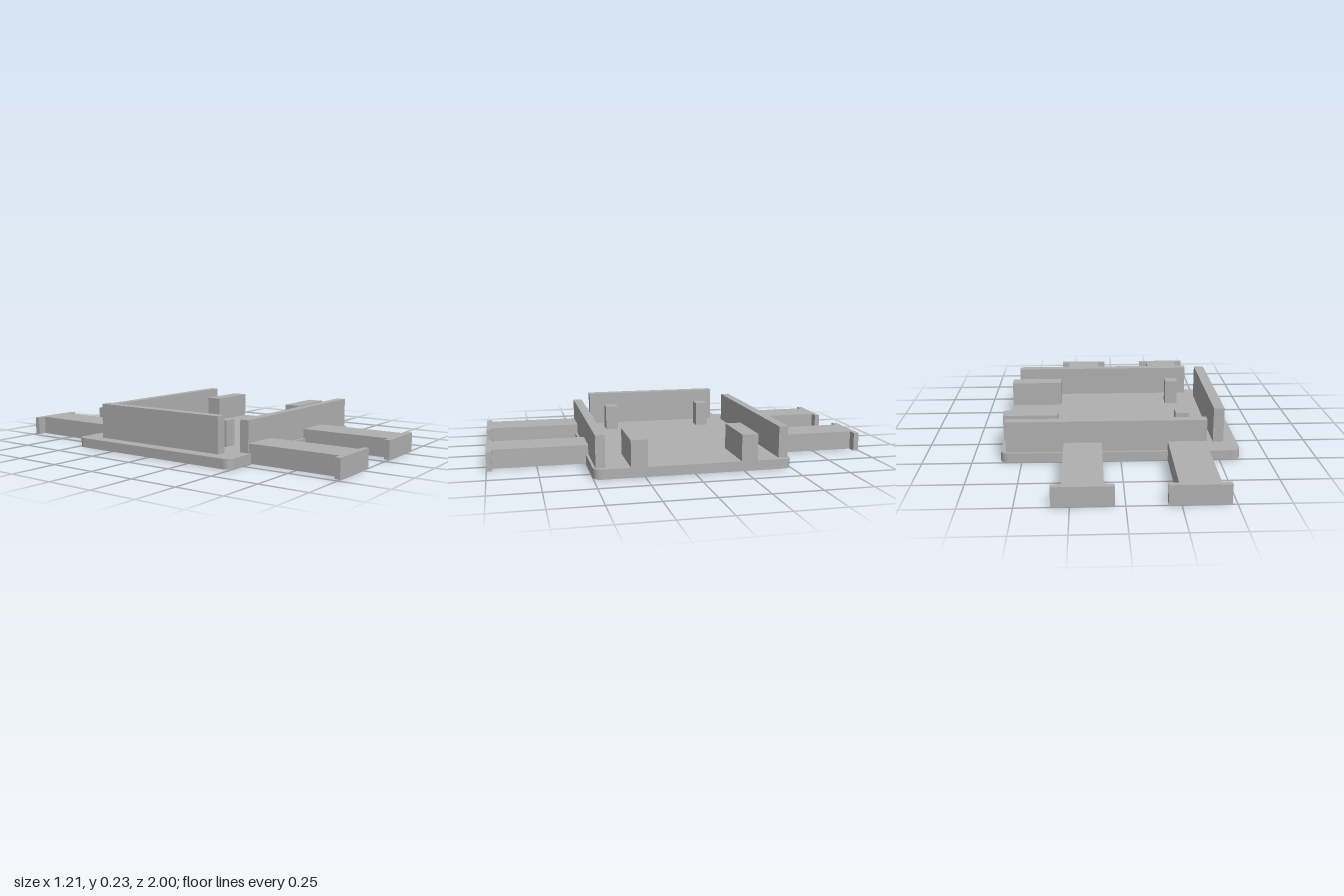
import * as THREE from 'three';

export function createModel() {
  const model = new THREE.Group();
  model.name = 'trayWithArms';
  const grey = new THREE.MeshStandardMaterial({ color: 0xb0b0b0 });
  grey.name = 'plain grey';

  const PLATE_TOP = 0.05;

  // Box given by its limits along each axis
  const block = (name, [x0, x1], [y0, y1], [z0, z1], parent = model) => {
    const mesh = new THREE.Mesh(new THREE.BoxGeometry(x1 - x0, y1 - y0, z1 - z0), grey);
    mesh.position.set((x0 + x1) / 2, (y0 + y1) / 2, (z0 + z1) / 2);
    mesh.name = name;
    parent.add(mesh);
  };

  // Base plate with rounded corners
  const w = 0.607, d = 0.5, r = 0.04;
  const outline = new THREE.Shape();
  outline.absarc(w - r, d - r, r, 0, Math.PI / 2);
  outline.absarc(-w + r, d - r, r, Math.PI / 2, Math.PI);
  outline.absarc(-w + r, -d + r, r, Math.PI, Math.PI * 1.5);
  outline.absarc(w - r, -d + r, r, Math.PI * 1.5, Math.PI * 2);
  outline.closePath();
  const plateGeometry = new THREE.ExtrudeGeometry(outline, { depth: PLATE_TOP, bevelEnabled: false, curveSegments: 10 });
  plateGeometry.rotateX(-Math.PI / 2);
  const plate = new THREE.Mesh(plateGeometry, grey);
  plate.name = 'basePlate';
  model.add(plate);

  // Tall wall at the end of the plate
  block('endWall', [-0.538, -0.483], [PLATE_TOP, 0.234], [-0.383, 0.383]);

  // Parts repeated at the front and the back
  for (const s of [1, -1]) {
    const side = s > 0 ? 'front' : 'back';
    const span = (a, b) => (s > 0 ? [a, b] : [-b, -a]);

    block(side + 'Wall', [-0.434, 0.577], [PLATE_TOP, 0.211], span(0.44, 0.487));
    block(side + 'Post', [-0.365, -0.295], [PLATE_TOP, 0.185], span(0.24, 0.31));
    block(side + 'Rest', [0.322, 0.605], [PLATE_TOP, 0.185], span(0.237, 0.32));

    // Two arms, each with a wider end plate
    for (const x of [-0.333, 0.192]) {
      const arm = new THREE.Group();
      arm.name = side + (x < 0 ? 'RightArm' : 'LeftArm');
      block('armBeam', [x - 0.096, x + 0.096], [0, 0.098], span(0.487, 0.972), arm);
      block('armEnd', [x - 0.143, x + 0.143], [0, 0.098], span(0.972, 1), arm);
      model.add(arm);
    }
  }
  return model;
}
